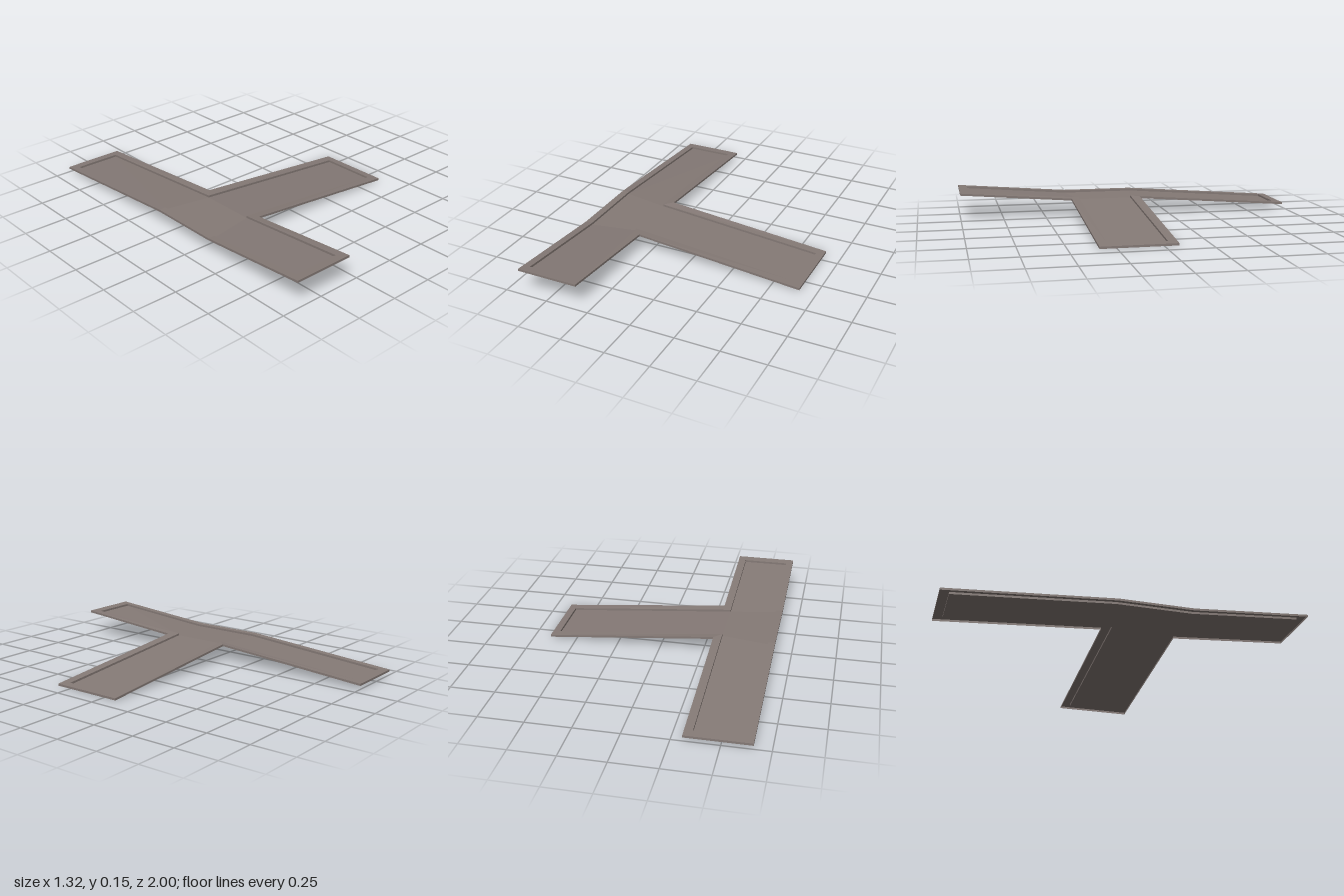
import * as THREE from 'three';

const DEPTH = 0.012;

// Height of the folded sheet: flat at the junction, each arm tilting on its own
const heightAt = (x, z) => 0.102
  + 0.08 * Math.max(0, z - 0.34)
  - 0.076 * Math.max(0, -0.08 - z)
  - 0.0933 * Math.max(0, x + 0.31);

// T-shaped outline, counterclockwise from above, with points at the folds
function outline(x0, x1, x2, zFront, zBack, zA, zB) {
  return [
    [x0, zFront], [x1, zFront], [x1, zA], [x2, zA], [x2, zB],
    [x1, zB], [x1, zBack], [x0, zBack], [x0, -0.08], [x0, 0.34],
  ].map(([x, z]) => new THREE.Vector3(x, heightAt(x, z), z));
}

const lowered = (loop) => loop.map((p) => p.clone().setY(p.y - DEPTH));

// Quads joining two matching closed loops
const band = (a, b) => a.map((p, i) => {
  const j = (i + 1) % a.length;
  return [p, a[j], b[j], b[i]];
});

function quadMesh(name, quads, material) {
  const points = quads.flatMap(([a, b, c, d]) => [a, b, c, a, c, d]);
  const geometry = new THREE.BufferGeometry().setFromPoints(points);
  geometry.computeVertexNormals();
  const mesh = new THREE.Mesh(geometry, material);
  mesh.name = name;
  return mesh;
}

export function createModel() {
  const group = new THREE.Group();
  group.name = 'foldedWalkway';

  const stone = new THREE.MeshStandardMaterial({ color: 0x857a76, side: THREE.DoubleSide });
  stone.name = 'warm grey';

  const outer = outline(-0.66, -0.31, 0.655, 1, -1, 0.34, -0.08);
  const inner = outline(-0.62, -0.355, 0.612, 0.95, -0.95, 0.29, -0.03);
  const floor = lowered(inner);

  // Raised border, its outer skirt, and the walls down to the sunken floor
  group.add(quadMesh('border', band(outer, inner), stone));
  group.add(quadMesh('outerSkirt', band(lowered(outer), outer), stone));
  group.add(quadMesh('recessWalls', band(inner, floor), stone));

  // Sunken floor: front arm, junction, back arm, side arm
  const arms = {
    frontFloor: [0, 1, 2, 9],
    junctionFloor: [9, 2, 5, 8],
    backFloor: [8, 5, 6, 7],
    sideFloor: [2, 3, 4, 5],
  };
  for (const [name, ids] of Object.entries(arms)) {
    group.add(quadMesh(name, [ids.map((i) => floor[i])], stone));
  }
  return group;
}
